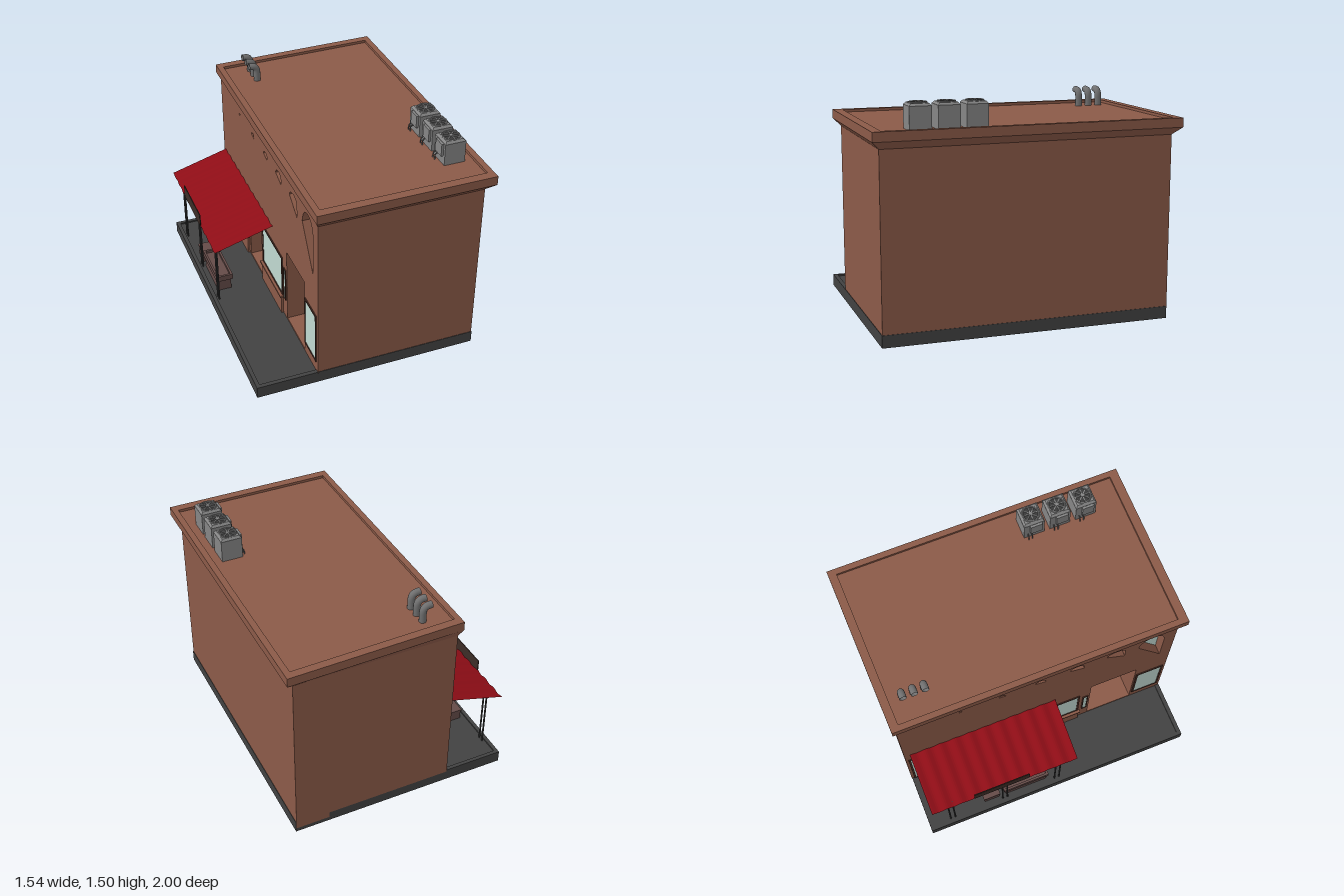
import * as THREE from 'three';

const mat = (color, side = THREE.FrontSide) =>
  new THREE.MeshStandardMaterial({ color, side, flatShading: true });
const BRICK = mat(0x8b5a48), STONE = mat(0x424242), RED = mat(0x8f0d16, THREE.DoubleSide);
const METAL = mat(0x858585), DARK = mat(0x3a3a3a), FRAME = mat(0x4a2f26);
const GLASS = mat(0xc0d8d0), WOOD = mat(0x644b48), SIGN = mat(0x3c2c26);
const PIPE = new THREE.MeshStandardMaterial({ color: 0x707070, side: THREE.DoubleSide });

function add(parent, name, geo, material, x = 0, y = 0, z = 0) {
  const m = new THREE.Mesh(geo, material);
  m.name = name;
  m.position.set(x, y, z);
  parent.add(m);
  return m;
}

// box given by its limits on each axis
function box(parent, name, material, x0, x1, y0, y1, z0, z1) {
  return add(parent, name, new THREE.BoxGeometry(x1 - x0, y1 - y0, z1 - z0), material,
    (x0 + x1) / 2, (y0 + y1) / 2, (z0 + z1) / 2);
}

function rect(Type, a0, a1, b0, b1) {
  const s = new Type();
  s.moveTo(a0, b0); s.lineTo(a1, b0); s.lineTo(a1, b1); s.lineTo(a0, b1); s.closePath();
  return s;
}

// shape drawn in (z, y), extruded towards -x
function sidePlate(shape, depth) {
  return new THREE.ExtrudeGeometry(shape, { depth, bevelEnabled: false, curveSegments: 8 }).rotateY(-Math.PI / 2);
}

// stacked four-cornered rings, capped on the last one
function rings(list) {
  const pos = [], idx = [];
  list.forEach(({ y, x0, x1, zb0, zb1, zf }) =>
    pos.push(x0, y, zf, x1, y, zf, x1, y, zb1, x0, y, zb0));
  for (let r = 0; r < list.length - 1; r++)
    for (let i = 0; i < 4; i++) {
      const a = r * 4 + i, b = r * 4 + (i + 1) % 4;
      idx.push(a, b, b + 4, a, b + 4, a + 4);
    }
  const t = (list.length - 1) * 4;
  idx.push(t, t + 1, t + 2, t, t + 2, t + 3);
  const g = new THREE.BufferGeometry();
  g.setAttribute('position', new THREE.Float32BufferAttribute(pos, 3));
  g.setIndex(idx);
  const flat = g.toNonIndexed();
  flat.computeVertexNormals();
  return flat;
}

// framed pane on a wall plane at x
function pane(parent, name, x, z0, z1, y0, y1, bar = 0.014) {
  const g = new THREE.Group();
  g.name = name;
  const s = rect(THREE.Shape, z0, z1, y0, y1);
  s.holes.push(rect(THREE.Path, z0 + bar, z1 - bar, y0 + bar, y1 - bar));
  add(g, 'frame', sidePlate(s, 0.015), FRAME, x + 0.01);
  box(g, 'glass', GLASS, x - 0.002, x + 0.01, y0 + bar / 2, y1 - bar / 2, z0 + bar / 2, z1 - bar / 2);
  parent.add(g);
}

function building(root) {
  const g = new THREE.Group();
  g.name = 'building';
  root.add(g);
  box(g, 'mainWalls', BRICK, -0.165, 0.717, 0.1, 1.26, -0.948, 0.95);
  box(g, 'wallFoot', BRICK, 0.49, 0.717, 0.06, 0.1, -0.948, -0.9);

  // shop front wall with two entrance alcoves and a row of arched openings
  const wall = rect(THREE.Shape, -0.948, 0.95, 0.1, 1.26);
  wall.holes.push(rect(THREE.Path, -0.38, -0.13, 0.112, 0.6), rect(THREE.Path, 0.39, 0.72, 0.112, 0.66));
  const arches = [ // centre, half width, low edge at each side, top
    [0.78, 0.09, 1.11, 0.83, 1.215], [0.53, 0.065, 1.16, 1.07, 1.2], [0.26, 0.05, 1.165, 1.13, 1.2],
    [0.01, 0.036, 1.17, 1.15, 1.195], [-0.25, 0.025, 1.175, 1.163, 1.193], [-0.53, 0.013, 1.18, 1.175, 1.19]];
  for (const [c, w, left, right, top] of arches) {
    const h = new THREE.Path();
    const spring = Math.max(left, top - w * 1.1);
    h.moveTo(c - w, left);
    h.lineTo(c + w, right);
    h.lineTo(c + w, spring);
    h.quadraticCurveTo(c + w * 0.8, top, c, top);
    h.quadraticCurveTo(c - w * 0.8, top, c - w, spring);
    h.closePath();
    wall.holes.push(h);
    box(g, 'archGlass', GLASS, -0.3, -0.29, right - 0.01, top - 0.06, c - w - 0.01, c + w + 0.01);
  }
  add(g, 'shopFrontWall', sidePlate(wall, 0.2), BRICK, -0.165);

  // shop windows, sills and doors
  pane(g, 'cornerWindow', -0.367, 0.73, 0.93, 0.18, 0.55);
  pane(g, 'sideDoor', -0.367, -0.93, -0.78, 0.115, 0.58);
  box(g, 'doorPanel', FRAME, -0.373, -0.36, 0.42, 0.54, -0.89, -0.82);
  pane(g, 'shopWindow', -0.367, -0.7, -0.41, 0.25, 0.56);
  pane(g, 'shopWindow', -0.367, -0.09, 0.31, 0.25, 0.56);
  pane(g, 'narrowWindow', -0.367, 0.335, 0.375, 0.25, 0.5, 0.008);
  for (const [z0, z1] of [[-0.71, -0.4], [-0.1, 0.32]]) {
    box(g, 'sill', BRICK, -0.39, -0.36, 0.235, 0.25, z0, z1);
    box(g, 'windowBase', BRICK, -0.38, -0.36, 0.1, 0.235, z0 + 0.01, z1 - 0.01);
  }
  pane(g, 'entranceDoor', -0.175, -0.35, -0.16, 0.115, 0.52, 0.025);
  pane(g, 'entranceDoor', -0.175, 0.45, 0.67, 0.115, 0.54, 0.025);

  // flared cornice with a sunken roof
  const outer = { x0: -0.39, x1: 0.77, zb0: -0.972, zb1: -1, zf: 1 };
  const inner = { x0: -0.35, x1: 0.73, zb0: -0.918, zb1: -0.945, zf: 0.94 };
  add(g, 'corniceAndRoof', rings([
    { y: 1.24, x0: -0.365, x1: 0.717, zb0: -0.948, zb1: -0.948, zf: 0.95 },
    { y: 1.29, ...outer }, { y: 1.35, ...outer },
    { y: 1.35, ...inner }, { y: 1.332, ...inner }]), BRICK);
}

function airConditioner(root, z) {
  const g = new THREE.Group();
  g.name = 'airConditioner';
  g.position.set(0.603, 1.33, z);
  root.add(g);
  box(g, 'housing', METAL, -0.07, 0.07, 0, 0.148, -0.07, 0.07);
  const top = new THREE.CylinderGeometry(0.08, 0.099, 0.015, 4).rotateY(Math.PI / 4);
  add(g, 'chamferedTop', top, METAL, 0, 0.155, 0);
  add(g, 'fanRing', new THREE.TorusGeometry(0.054, 0.006, 6, 20).rotateX(Math.PI / 2), METAL, 0, 0.164, 0);
  add(g, 'fanWell', new THREE.CylinderGeometry(0.05, 0.05, 0.004, 20), DARK, 0, 0.162, 0);
  for (let i = 0; i < 4; i++)
    add(g, 'fanSpoke', new THREE.BoxGeometry(0.1, 0.004, 0.005), METAL, 0, 0.166, 0).rotation.y = i * Math.PI / 4;
  add(g, 'fanHub', new THREE.CylinderGeometry(0.012, 0.012, 0.006, 10), METAL, 0, 0.166, 0);
  box(g, 'servicePanel', METAL, -0.085, -0.07, 0.06, 0.145, -0.03, 0.05);
  for (const pz of [-0.045, -0.02]) {
    const path = new THREE.CatmullRomCurve3([[-0.07, 0.045], [-0.085, 0.04], [-0.09, 0.02], [-0.09, 0]]
      .map(([x, y]) => new THREE.Vector3(x, y, pz)));
    add(g, 'coolantPipe', new THREE.TubeGeometry(path, 8, 0.004, 6), PIPE);
  }
}

function roofVent(root, z) {
  const path = new THREE.CurvePath();
  const v = (x, y) => new THREE.Vector3(x, y, z);
  path.add(new THREE.LineCurve3(v(-0.18, 1.33), v(-0.18, 1.39)));
  path.add(new THREE.CubicBezierCurve3(v(-0.18, 1.39), v(-0.18, 1.42), v(-0.19, 1.437), v(-0.215, 1.439)));
  path.add(new THREE.LineCurve3(v(-0.215, 1.439), v(-0.237, 1.441)));
  add(root, 'roofVent', new THREE.TubeGeometry(path, 24, 0.023, 14), PIPE);
}

function awning(root) {
  const g = new THREE.Group();
  g.name = 'awning';
  root.add(g);
  // corrugated sheet sloping down from the wall
  const sheet = new THREE.PlaneGeometry(1, 1, 1, 80);
  const p = sheet.attributes.position;
  for (let i = 0; i < p.count; i++) {
    const u = p.getX(i) + 0.5, w = 0.5 - p.getY(i);
    p.setXYZ(i, -0.768 + 0.405 * u, 0.567 + 0.117 * u + 0.006 * Math.cos(w * 20 * Math.PI), -0.91 + 1.035 * w);
  }
  sheet.computeVertexNormals();
  add(g, 'corrugatedSheet', sheet, RED);
  box(g, 'signBoard', SIGN, -0.768, -0.762, 0.56, 0.65, -0.61, -0.22);
  // paired posts
  for (const z of [-0.775, -0.385, 0.005]) {
    for (const s of [-0.017, 0.017])
      add(g, 'post', new THREE.CylinderGeometry(0.006, 0.006, 0.572, 8), DARK, -0.73, 0.286, z + s);
  }
  box(g, 'postBeam', DARK, -0.735, -0.725, 0.558, 0.568, -0.88, 0.1);
}

function furniture(root) {
  const g = new THREE.Group();
  g.name = 'outdoorSeating';
  root.add(g);
  // counter with a raised rim and a lower bench beside it
  box(g, 'counterBody', WOOD, -0.71, -0.615, 0.1, 0.205, -0.37, -0.07);
  const rim = rect(THREE.Shape, -0.385, -0.055, -0.72, -0.605);
  rim.holes.push(rect(THREE.Path, -0.37, -0.07, -0.705, -0.62));
  const rimGeo = new THREE.ExtrudeGeometry(rim, { depth: 0.04, bevelEnabled: false });
  rimGeo.rotateX(-Math.PI / 2).rotateY(-Math.PI / 2);
  rimGeo.computeBoundingBox();
  const b = rimGeo.boundingBox;
  add(g, 'counterRim', rimGeo, WOOD, -0.72 - b.min.x, 0.185, -0.385 - b.min.z);
  box(g, 'bench', WOOD, -0.71, -0.615, 0.1, 0.165, -0.53, -0.42);
  box(g, 'benchTop', WOOD, -0.715, -0.61, 0.165, 0.178, -0.535, -0.415);
}

export function createModel() {
  const root = new THREE.Group();
  root.name = 'shopBuilding';

  // paved base with a low kerb
  box(root, 'pavement', STONE, -0.77, 0.72, 0.03, 0.1, -0.945, 0.953);
  box(root, 'kerb', STONE, -0.77, -0.745, 0.1, 0.11, -0.945, 0.953);
  for (const [z0, z1] of [[-0.945, -0.92], [0.925, 0.953]])
    box(root, 'kerb', STONE, -0.745, -0.365, 0.1, 0.11, z0, z1);
  box(root, 'wallPlinth', STONE, -0.36, 0.72, 0.1, 0.11, 0.9, 0.953);
  box(root, 'wallPlinth', STONE, 0.7, 0.72, 0.1, 0.11, -0.945, 0.953);

  building(root);
  awning(root);
  furniture(root);
  [0.327, 0.505, 0.683].forEach(z => airConditioner(root, z));
  [-0.835, -0.762, -0.69].forEach(z => roofVent(root, z));
  return root;
}
